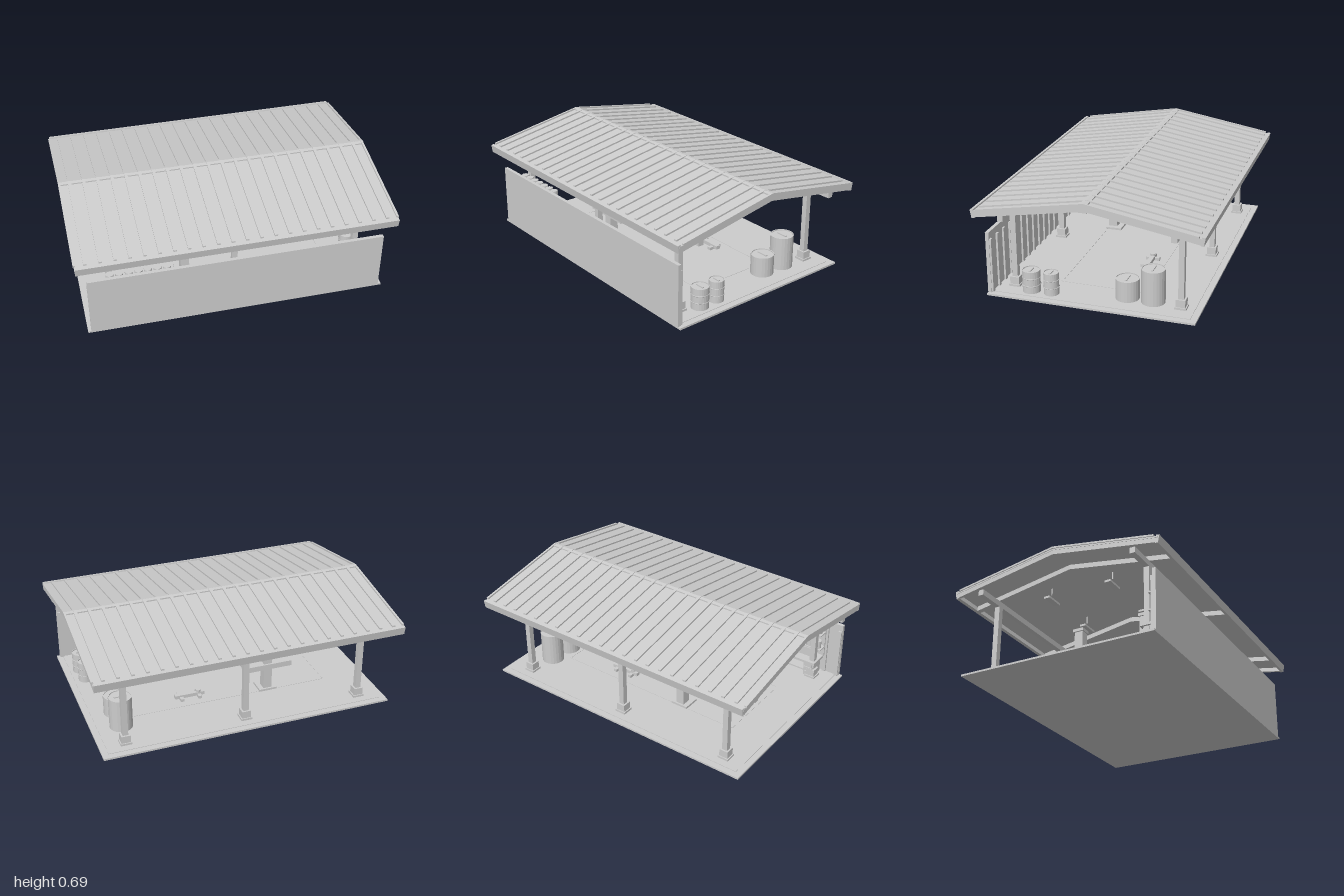
import * as THREE from 'three';

export function createModel() {
  const root = new THREE.Group();
  root.name = 'openWorkshop';
  const gray = new THREE.MeshStandardMaterial({ color: 0xcccccc });
  gray.name = 'plain gray';
  const SLOPE = 0.171;

  const add = (name, geo, parent = root) => {
    const m = new THREE.Mesh(geo, gray);
    m.name = name;
    parent.add(m);
    return m;
  };
  // axis-aligned box from its lower and upper limits
  const box = (name, x0, x1, y0, y1, z0, z1, parent) =>
    add(name, new THREE.BoxGeometry(x1 - x0, y1 - y0, z1 - z0)
      .translate((x0 + x1) / 2, (y0 + y1) / 2, (z0 + z1) / 2), parent);
  // the same box on both roof pitches, sheared down with the slope
  const pitched = (name, x0, x1, y0, y1, z0, z1, parent) => {
    for (const s of [1, -1]) {
      const geo = box(name, x0, x1, y0, y1, Math.min(s * z0, s * z1), Math.max(s * z0, s * z1), parent).geometry;
      const p = geo.attributes.position;
      for (let i = 0; i < p.count; i++) p.setY(i, p.getY(i) - SLOPE * Math.abs(p.getZ(i)));
      geo.computeVertexNormals();
    }
  };
  const group = (name) => {
    const g = new THREE.Group();
    g.name = name;
    root.add(g);
    return g;
  };

  // floor slab with a slightly raised inner pad and painted bay lines
  box('floorSlab', -0.945, 0.945, 0, 0.012, -0.645, 0.645);
  box('floorPad', -0.905, 0.905, 0.012, 0.015, -0.605, 0.62);
  const lines = group('bayLines');
  for (const s of [1, -1]) {
    box('longLine', -0.66, 0.66, 0.015, 0.017, s * 0.27 - 0.004, s * 0.27 + 0.004, lines);
    box('shortLine', s * 0.66 - 0.004, s * 0.66 + 0.004, 0.015, 0.017, -0.266, 0.266, lines);
  }

  // front wall with studs on the inside
  const wall = group('frontWall');
  box('wallPanel', -0.925, 0.925, 0.01, 0.403, 0.622, 0.645, wall);
  for (let i = 0; i <= 20; i++) {
    const x = -0.91 + i * 0.091;
    box('wallStud', x - 0.012, x + 0.012, 0.015, 0.36, 0.61, 0.622, wall);
  }

  // roof sheets, standing seams, ridge cap and edge boards
  const roof = group('roof');
  pitched('roofSheet', -0.99, 0.99, 0.663, 0.675, 0, 0.69, roof);
  const seams = [0.988];
  for (let k = 0; k < 11; k++) seams.push(0.044 + 0.088 * k);
  for (const s of [1, -1]) {
    for (const x of seams) {
      const w = x > 0.95 ? 0.007 : 0.01;
      pitched('roofSeam', s * x - w, s * x + w, 0.673, 0.685, 0.0, 0.668, roof);
    }
    pitched('bargeBoard', s * 0.98 - 0.008, s * 0.98 + 0.008, 0.635, 0.675, 0, 0.69, roof);
    const eave = add('eaveBoard', new THREE.BoxGeometry(1.975, 0.052, 0.02), roof);
    eave.position.set(0, 0.54, s * 0.688);
    eave.rotation.x = s * 0.17;
  }
  pitched('ridgeCap', -0.99, 0.99, 0.672, 0.683, 0, 0.022, roof);

  // frame: posts with footings, long beams and rafters
  const frame = group('frame');
  for (const s of [1, -1]) {
    const z = s * 0.522;
    box('eaveBeam', -0.97, 0.97, 0.505, 0.542, z - 0.0175, z + 0.0175, frame);
    for (const x of [-0.78, 0, 0.78]) {
      box('post', x - 0.0175, x + 0.0175, 0.015, 0.505, z - 0.0175, z + 0.0175, frame);
      box('footingPlate', x - 0.036, x + 0.036, 0.015, 0.028, z - 0.036, z + 0.036, frame);
      box('footing', x - 0.029, x + 0.029, 0.028, 0.075, z - 0.029, z + 0.029, frame);
    }
  }
  for (const x of [-0.78, 0, 0.78]) pitched('rafter', x - 0.016, x + 0.016, 0.632, 0.664, 0, 0.675, frame);

  // hanging lamps
  for (const s of [1, -1]) {
    for (const x of [-0.65, -0.22, 0.22, 0.65]) {
      box('lamp', x - 0.06, x + 0.06, 0.531, 0.545, s * 0.215 - 0.02, s * 0.215 + 0.02);
      box('lampHook', x - 0.003, x + 0.003, 0.577, 0.628, s * 0.217 - 0.003, s * 0.217 + 0.003);
    }
  }

  // two-column vehicle lift, built once and turned for the other side
  for (const turn of [0, Math.PI]) {
    const lift = group('liftColumn');
    lift.position.x = -0.26;
    lift.rotation.y = turn;
    box('basePlate', -0.06, 0.06, 0.015, 0.029, 0.17, 0.28, lift);
    box('column', -0.028, 0.028, 0.029, 0.495, 0.208, 0.268, lift);
    box('columnCap', -0.037, 0.037, 0.492, 0.512, 0.202, 0.278, lift);
    box('carriage', -0.16, 0.16, 0.174, 0.21, 0.2, 0.28, lift);
    for (const s of [1, -1]) {
      box('liftArm', s * 0.115 - 0.045, s * 0.115 + 0.045, 0.178, 0.206, 0.085, 0.2, lift);
      add('liftPad', new THREE.CylinderGeometry(0.035, 0.035, 0.02, 16).translate(s * 0.115, 0.216, 0.09), lift);
    }
  }

  // drums and tanks
  const drum = (name, x, z, r, top, rings) => {
    const g = group(name);
    g.position.set(x, 0.015, z);
    const h = top - 0.015;
    const profile = [[0, 0], [r, 0], [r, h], [r * 0.92, h], [r * 0.92, h - 0.006], [0, h - 0.006]];
    const shell = new THREE.LatheGeometry(profile.map(([a, b]) => new THREE.Vector2(a, b)), 24).toNonIndexed();
    shell.computeVertexNormals();
    add('drumShell', shell, g);
    for (const f of rings)
      add('drumRing', new THREE.TorusGeometry(r, 0.003, 6, 24).rotateX(Math.PI / 2).translate(0, h * f, 0), g);
    box('drumLidBar', -r * 0.5, r * 0.5, h - 0.006, h + 0.001, -0.006, 0.006, g);
  };
  drum('smallDrum', 0.83, 0.4, 0.055, 0.155, [0.33, 0.67]);
  drum('smallDrum', 0.83, 0.272, 0.047, 0.155, [0.33, 0.67]);
  drum('shortTank', 0.75, -0.182, 0.073, 0.146, []);
  drum('tallTank', 0.755, -0.343, 0.073, 0.232, []);

  // low trolley jack
  const jack = group('trolleyJack');
  box('jackBody', 0.15, 0.35, 0.022, 0.045, -0.19, -0.16, jack);
  for (const x of [0.19, 0.31]) box('jackAxle', x - 0.012, x + 0.012, 0.015, 0.034, -0.22, -0.13, jack);
  add('jackSaddle', new THREE.CylinderGeometry(0.016, 0.016, 0.015, 12).translate(0.19, 0.052, -0.175), jack);

  // workbench with drawers and a vise
  const bench = group('workbench');
  box('benchTop', -0.81, -0.4, 0.122, 0.138, 0.482, 0.608, bench);
  for (const x of [-0.795, -0.485]) {
    box('benchCabinet', x, x + 0.07, 0.015, 0.122, 0.5, 0.6, bench);
    for (let i = 0; i < 3; i++)
      box('benchDrawer', x + 0.006, x + 0.064, 0.022 + i * 0.034, 0.05 + i * 0.034, 0.494, 0.5, bench);
  }
  box('benchShelf', -0.725, -0.485, 0.04, 0.05, 0.51, 0.6, bench);
  box('viseBase', -0.46, -0.42, 0.138, 0.165, 0.54, 0.565, bench);
  box('viseJaw', -0.455, -0.425, 0.165, 0.185, 0.532, 0.552, bench);
  box('toolBox', -0.76, -0.66, 0.138, 0.2, 0.545, 0.6, bench);

  // wall shelves holding rows of cans
  const rack = group('canRack');
  for (const x of [-0.81, -0.605, -0.4]) box('rackUpright', x - 0.006, x + 0.006, 0.138, 0.385, 0.6, 0.612, rack);
  for (const y of [0.215, 0.328]) {
    box('rackShelf', -0.815, -0.395, y - 0.008, y, 0.54, 0.608, rack);
    for (let i = 0; i < 7; i++)
      add('can', new THREE.CylinderGeometry(0.024, 0.024, 0.052, 14).translate(-0.78 + i * 0.058, y + 0.026, 0.57), rack);
  }

  return root;
}
